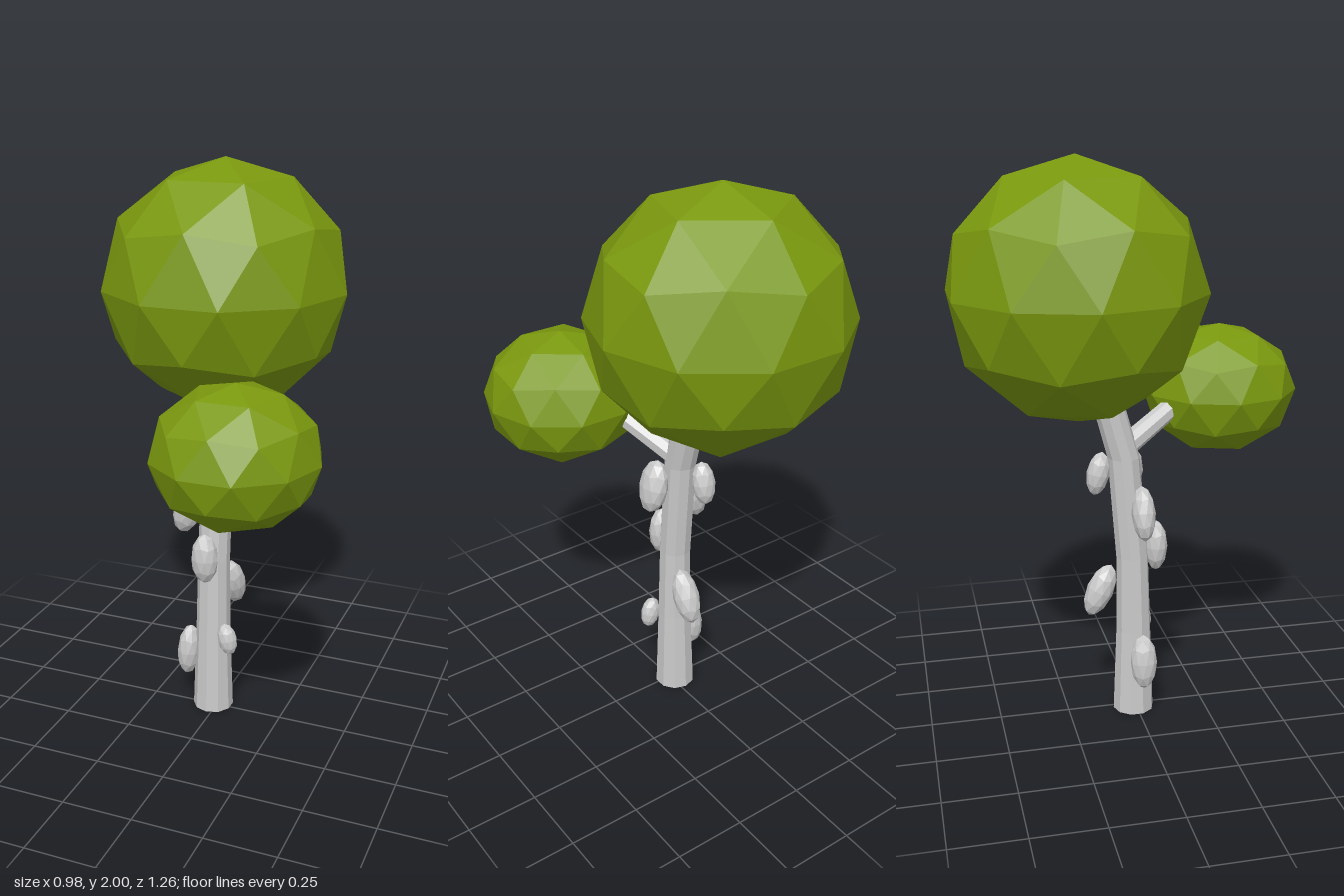
import * as THREE from 'three';

export function createModel() {
  const leaf = new THREE.MeshStandardMaterial({ color: 0x7a980e, flatShading: true });
  leaf.name = 'leaf green';
  const bark = new THREE.MeshStandardMaterial({ color: 0xcacaca, flatShading: true });
  bark.name = 'pale bark';

  const tree = new THREE.Group();
  tree.name = 'tree';
  const add = (name, geometry, material) => {
    const mesh = new THREE.Mesh(geometry, material);
    mesh.name = name;
    tree.add(mesh);
    return mesh;
  };

  // Faceted ball with a corner pointing straight up
  const ball = new THREE.IcosahedronGeometry(1, 1);
  ball.rotateZ(Math.atan(2 / (1 + Math.sqrt(5))));
  ball.rotateY(-Math.PI / 2);

  // Foliage
  const crown = add('crown', ball, leaf);
  crown.position.set(-0.05, 1.56, -0.207);
  crown.scale.setScalar(0.442);
  const lowerFoliage = add('lowerFoliage', ball, leaf);
  lowerFoliage.position.set(0.208, 1.147, 0.363);
  lowerFoliage.scale.set(0.281, 0.238, 0.284);

  // Trunk: rings of [height, centre x, centre z, radius], leaning back at the top
  const rings = [
    [0, -0.018, -0.01, 0.074],
    [0.32, -0.017, -0.009, 0.063],
    [0.6, -0.016, -0.013, 0.058],
    [0.97, -0.015, -0.043, 0.057],
    [1.25, -0.015, -0.12, 0.055],
  ];
  const trunk = new THREE.CylinderGeometry(1, 1, 1, 10, rings.length - 1);
  const p = trunk.attributes.position;
  for (let i = 0; i < p.count; i++) {
    const [y, x, z, r] = rings[Math.round((p.getY(i) + 0.5) * (rings.length - 1))];
    p.setXYZ(i, x + p.getX(i) * r, y, z + p.getZ(i) * r);
  }
  trunk.computeVertexNormals();
  add('trunk', trunk, bark);

  // Branch reaching into the lower foliage
  const from = new THREE.Vector3(0, 1.005, -0.03);
  const to = new THREE.Vector3(0.11, 1.13, 0.19);
  const dir = to.clone().sub(from);
  const branch = add('branch', new THREE.CylinderGeometry(0.036, 0.04, dir.length(), 8), bark);
  branch.position.copy(from).add(to).multiplyScalar(0.5);
  branch.quaternion.setFromUnitVectors(new THREE.Vector3(0, 1, 0), dir.normalize());

  // Knots on the bark: position, half sizes, tilt about x and z
  const knots = [
    [[-0.107, 0.22, 0.01], [0.043, 0.102, 0.048], 0, -0.08],
    [[0.058, 0.31, 0.043], [0.036, 0.061, 0.032], 0, 0.2],
    [[0.015, 0.462, -0.125], [0.048, 0.103, 0.049], 0.42, 0],
    [[-0.018, 0.632, 0.073], [0.05, 0.094, 0.042], 0, 0],
    [[-0.107, 0.787, 0.008], [0.052, 0.097, 0.042], 0, -0.32],
    [[0.077, 0.893, -0.012], [0.046, 0.1, 0.06], 0, 0.2],
    [[-0.045, 0.925, -0.14], [0.042, 0.079, 0.04], 0.2, 0],
  ];
  knots.forEach(([position, size, tiltX, tiltZ], i) => {
    const knot = add('knot' + (i + 1), ball, bark);
    knot.position.set(...position);
    knot.scale.set(...size);
    knot.rotation.set(tiltX, 0, tiltZ);
  });

  return tree;
}
